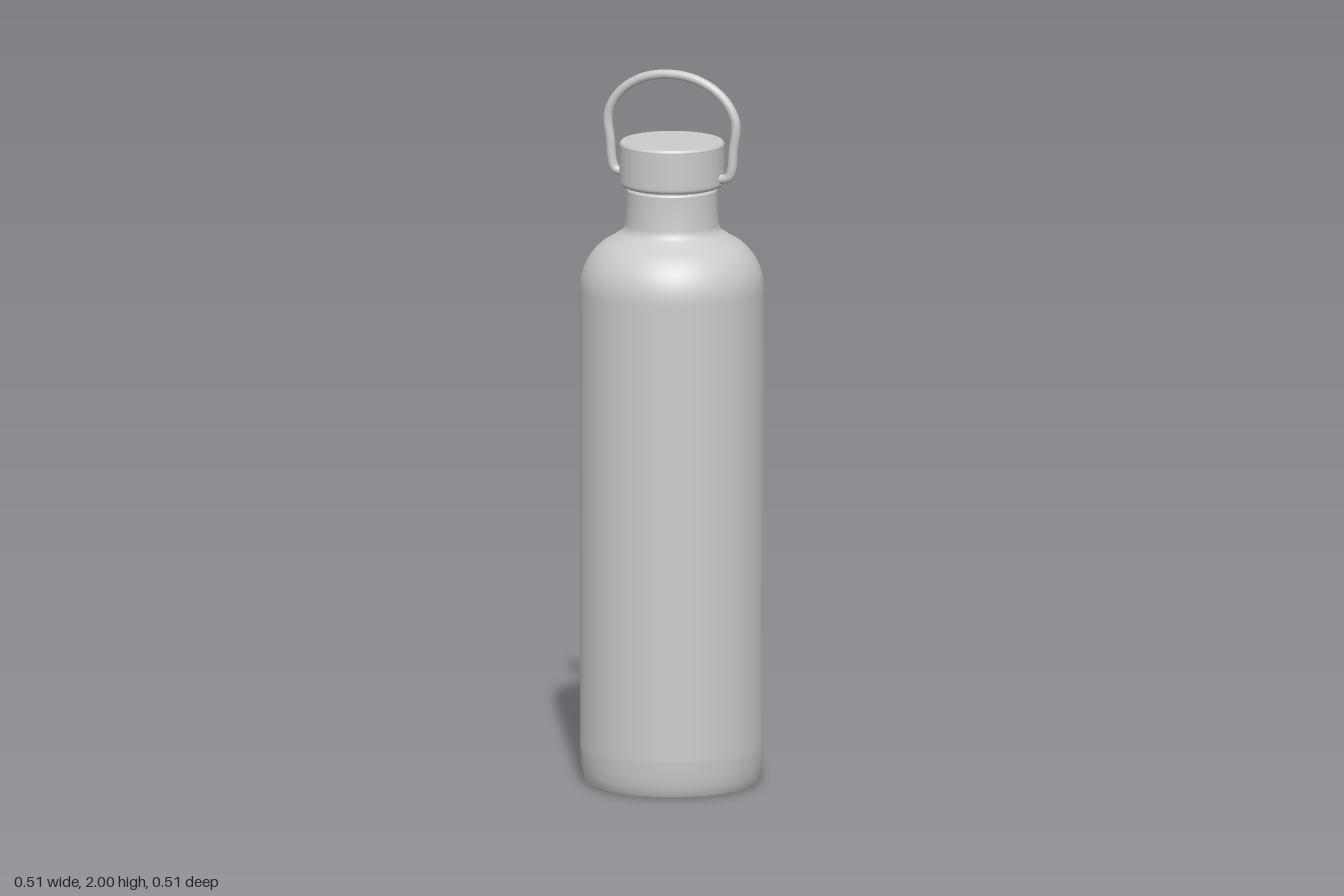
import * as THREE from 'three';

const material = new THREE.MeshStandardMaterial({ color: 0xcccccc });

function part(name, geometry) {
  const mesh = new THREE.Mesh(geometry, material);
  mesh.name = name;
  return mesh;
}

// Revolves [radius, y] pairs (bottom to top); a repeated pair keeps that edge sharp.
function lathe(profile) {
  const geometry = new THREE.LatheGeometry(profile.map(([r, y]) => new THREE.Vector2(r, y)), 96);
  geometry.normalizeNormals();
  return geometry;
}

// Points of an elliptical arc, angles in degrees.
function arc(cx, cy, rx, ry, from, to, steps) {
  return Array.from({ length: steps + 1 }, (_, i) => {
    const a = THREE.MathUtils.degToRad(from + ((to - from) * i) / steps);
    return [cx + rx * Math.cos(a), cy + ry * Math.sin(a)];
  });
}

export function createModel() {
  const group = new THREE.Group();
  group.name = 'bottle';

  // Body: flat base, soft lower edge, round shoulder and filleted neck
  group.add(part('body', lathe([
    [0, 0], [0.232, 0], [0.232, 0],
    [0.239, 0.008], [0.245, 0.03], [0.25, 0.06], [0.253, 0.1], [0.253, 0.11],
    [0.253, 1.38],
    ...arc(0.113, 1.39, 0.14, 0.15, 0, 68, 14),
    ...arc(0.163, 1.572, 0.034, 0.034, 250, 180, 6),
    [0.125, 1.62], [0.125, 1.665], [0.125, 1.665],
    [0.121, 1.67], [0.121, 1.67],
    [0.115, 1.67], [0.115, 1.67], [0.115, 1.69],
  ])));

  // Cap: rounded lower edge and a fine bevel round the flat top
  group.add(part('cap', lathe([
    [0, 1.676], [0.132, 1.676], [0.132, 1.676],
    ...arc(0.132, 1.69, 0.0125, 0.014, -75, 0, 6),
    [0.1445, 1.70], [0.1445, 1.794], [0.1445, 1.794],
    [0.14, 1.8], [0.14, 1.8], [0, 1.8],
  ])));

  // Carrying loop: half of the wire's centre line, mirrored to the other side
  const half = [
    [0.13, 1.704], [0.15, 1.704], [0.168, 1.71], [0.177, 1.73], [0.183, 1.79],
    [0.19, 1.84], [0.187, 1.873], [0.165, 1.915], [0.125, 1.952], [0.068, 1.978],
  ];
  const path = [
    ...half.map(([x, y]) => new THREE.Vector3(x, y, 0)),
    new THREE.Vector3(0, 1.987, 0),
    ...half.map(([x, y]) => new THREE.Vector3(-x, y, 0)).reverse(),
  ];
  group.add(part('carryLoop', new THREE.TubeGeometry(new THREE.CatmullRomCurve3(path), 140, 0.013, 20)));

  return group;
}
